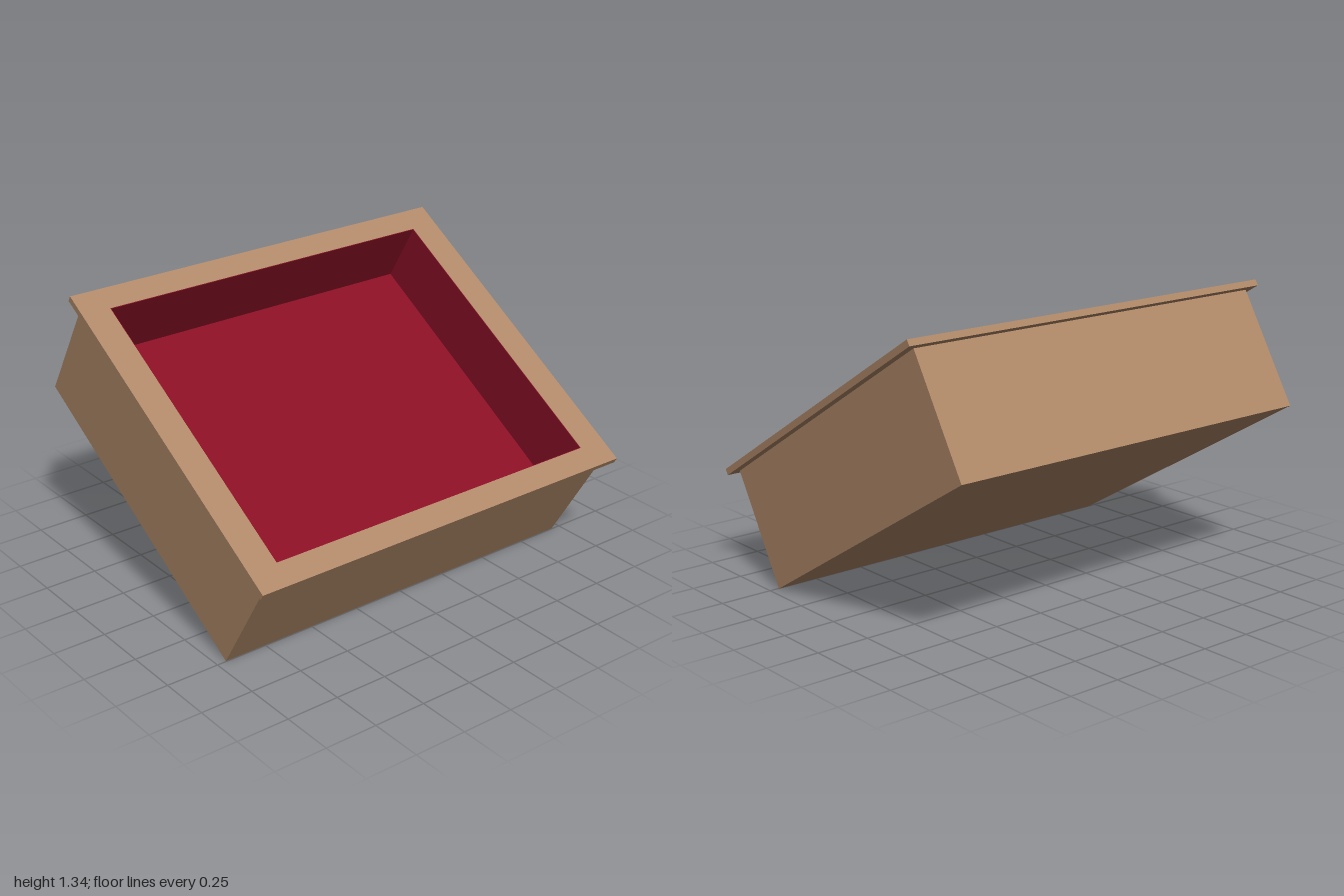
import * as THREE from 'three';

const wood = new THREE.MeshStandardMaterial({ color: 0xae8867 });
wood.name = 'light brown wood';
const lining = new THREE.MeshStandardMaterial({ color: 0x8a0f25 });
lining.name = 'dark red lining';

function rectangle(PathType, width, depth) {
  const x = width / 2, y = depth / 2;
  return new PathType([[-x, -y], [x, -y], [x, y], [-x, y]].map(p => new THREE.Vector2(...p)));
}

// Rectangular frame rising from y to y + height
function addFrame(parent, name, material, outer, inner, y, height) {
  const shape = rectangle(THREE.Shape, ...outer);
  shape.holes.push(rectangle(THREE.Path, ...inner));
  const geometry = new THREE.ExtrudeGeometry(shape, { depth: height, bevelEnabled: false });
  geometry.rotateX(-Math.PI / 2);
  geometry.translate(0, y, 0);
  const mesh = new THREE.Mesh(geometry, material);
  mesh.name = name;
  parent.add(mesh);
}

function addSlab(parent, name, material, width, depth, y, height) {
  const mesh = new THREE.Mesh(new THREE.BoxGeometry(width, height, depth), material);
  mesh.name = name;
  mesh.position.y = y + height / 2;
  parent.add(mesh);
}

export function createModel() {
  const model = new THREE.Group();
  model.name = 'tiltedTray';

  const tray = new THREE.Group();
  tray.name = 'tray';
  tray.position.set(0, 0.402, -0.17);
  tray.rotation.x = THREE.MathUtils.degToRad(31);
  model.add(tray);

  const body = [1.91, 1.556];
  const rim = [2, 1.633];
  const opening = [1.714, 1.4];
  const cut = opening.map(v => v + 0.006);
  const bodyHeight = 0.573, rimHeight = 0.03, floorY = 0.277;

  // Wooden box
  addSlab(tray, 'base', wood, ...body, 0, floorY - 0.005);
  addFrame(tray, 'walls', wood, body, cut, floorY - 0.005, bodyHeight - floorY + 0.005);
  addFrame(tray, 'rim', wood, rim, cut, bodyHeight, rimHeight);

  // Red inner lining
  addSlab(tray, 'liningFloor', lining, ...opening, floorY - 0.005, 0.005);
  addFrame(tray, 'liningWalls', lining, cut, opening, floorY - 0.005, bodyHeight + rimHeight - floorY + 0.004);

  return model;
}
